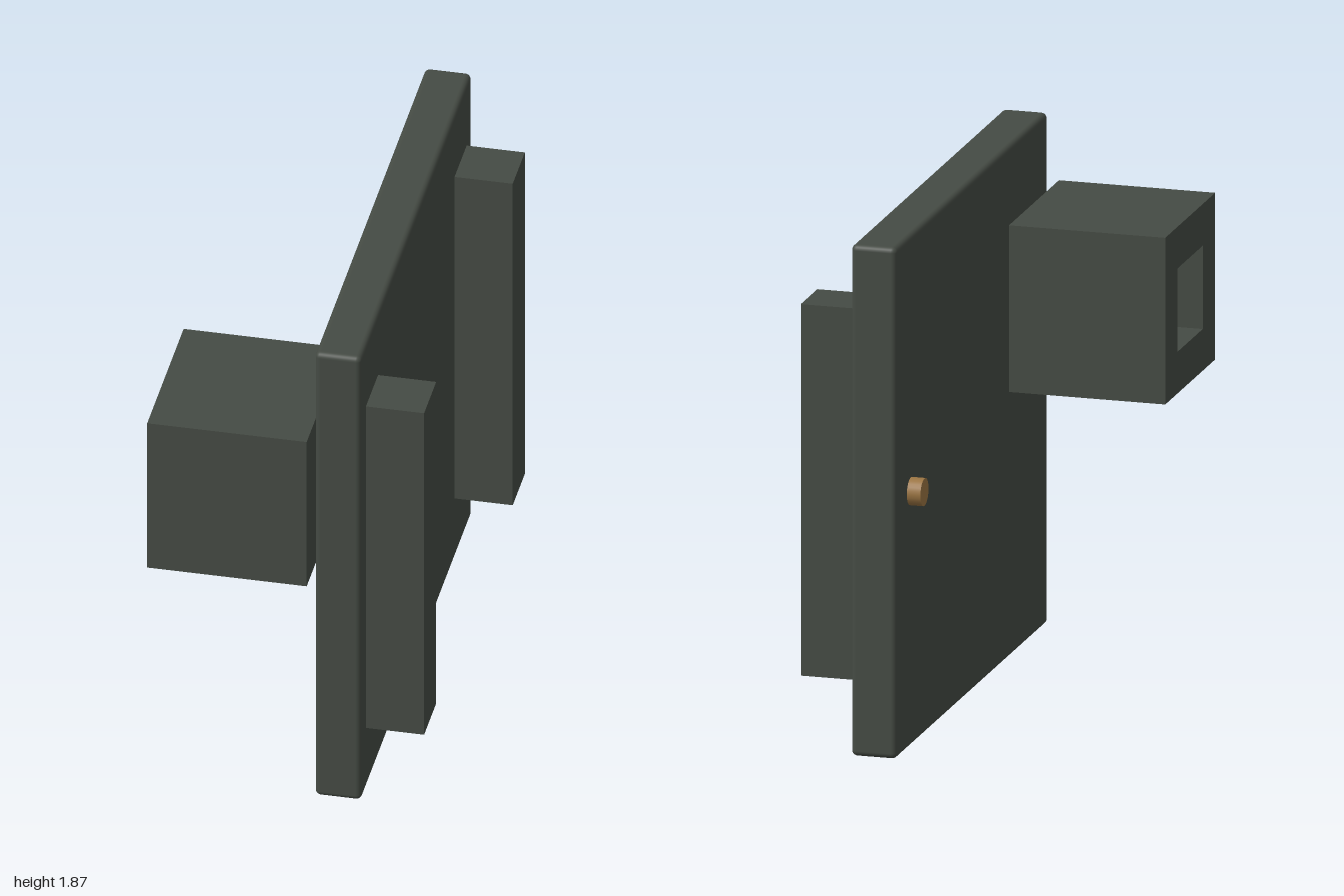
import * as THREE from 'three';
import { RoundedBoxGeometry } from 'three/addons/geometries/RoundedBoxGeometry.js';

export function createModel() {
  const model = new THREE.Group();
  const dark = new THREE.MeshStandardMaterial({ color: 0x454b44 });
  const brass = new THREE.MeshStandardMaterial({ color: 0x9b7543 });

  const add = (name, geometry, material, x, y, z) => {
    const mesh = new THREE.Mesh(geometry, material);
    mesh.name = name;
    mesh.position.set(x, y, z);
    model.add(mesh);
    return mesh;
  };

  // Upright square panel with softened edges
  const size = 1.865, thickness = 0.166, panelX = 0.182, panelZ = -0.0675;
  add('panel', new RoundedBoxGeometry(thickness, size, size, 3, 0.02), dark, panelX, size / 2, panelZ);

  // Two vertical rails on the left face
  for (const side of [1, -1]) {
    const rail = new THREE.BoxGeometry(0.21, 1.355, 0.204);
    add(side > 0 ? 'frontRail' : 'backRail', rail, dark, 0.369, size / 2, panelZ + side * 0.746);
  }

  // Square block on the right face, with a square socket running in to the panel
  const rect = (path, w, h) => {
    path.moveTo(-w / 2, -h / 2);
    path.lineTo(w / 2, -h / 2);
    path.lineTo(w / 2, h / 2);
    path.lineTo(-w / 2, h / 2);
    path.closePath();
    return path;
  };
  const outline = rect(new THREE.Shape(), 0.614, 0.608);
  outline.holes.push(rect(new THREE.Path(), 0.308, 0.304));
  const block = new THREE.ExtrudeGeometry(outline, { depth: 0.573, bevelEnabled: false });
  block.rotateY(Math.PI / 2);
  add('socketBlock', block, dark, -0.474, 1.275, 0.693);

  // Small round knob near the back edge of the right face
  const knob = new THREE.CylinderGeometry(0.05, 0.05, 0.06, 24);
  knob.rotateZ(Math.PI / 2);
  add('knob', knob, brass, 0.079, size / 2, -0.819);

  return model;
}
